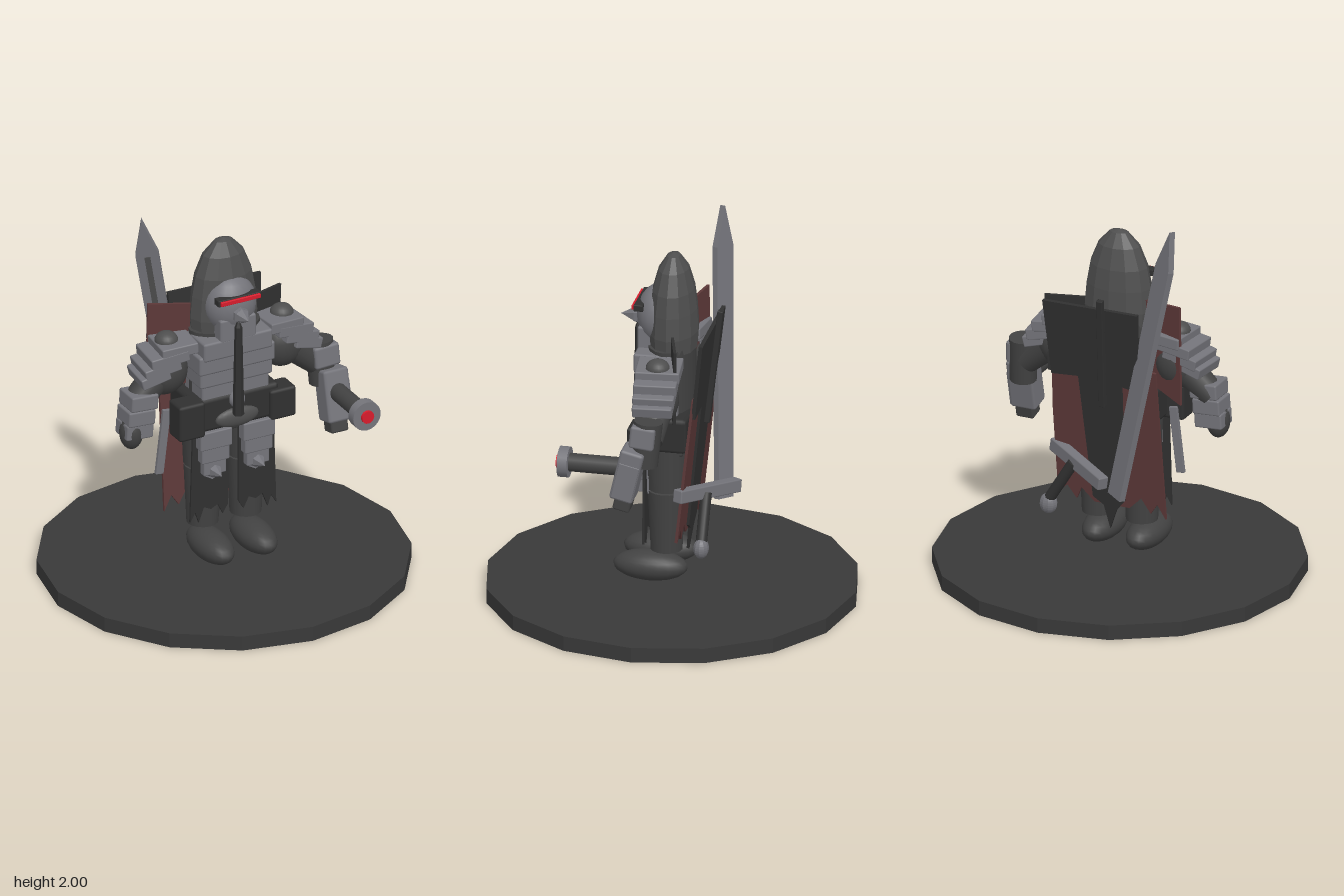
import * as THREE from 'three';
import { RoundedBoxGeometry } from 'three/addons/geometries/RoundedBoxGeometry.js';

const mat = (name, color) => {
  const m = new THREE.MeshStandardMaterial({ color });
  m.name = name;
  return m;
};
const V = (x, y, z) => new THREE.Vector3(x, y, z);

export function createModel() {
  const armor = mat('steel armor', 0x74747a);
  const under = mat('dark undersuit', 0x424242);
  const hoodCloth = mat('hood cloth', 0x4e4e4e);
  const black = mat('black cloth', 0x303030);
  const stone = mat('base stone', 0x393939);
  const cape = mat('faded red cloth', 0x5c3838);
  const glow = mat('red glow', 0xd81c2c);

  const root = new THREE.Group();
  root.name = 'armoredKnight';

  const add = (name, geo, m, pos = [0, 0, 0], rot = [0, 0, 0], parent = root) => {
    const mesh = new THREE.Mesh(geo, m);
    mesh.name = name;
    mesh.position.set(...pos);
    mesh.rotation.set(...rot);
    parent.add(mesh);
    return mesh;
  };
  const flat = (g) => {
    const f = g.index ? g.toNonIndexed() : g;
    f.computeVertexNormals();
    return f;
  };
  const box = (w, h, d) => new RoundedBoxGeometry(w, h, d, 1, Math.min(w, h, d) * 0.12);
  const ball = (rx, ry, rz, seg = 20) => new THREE.SphereGeometry(1, seg, 14).scale(rx, ry, rz);
  const limb = (name, a, b, ra, rb, m) => {
    const d = b.clone().sub(a);
    const mesh = add(name, new THREE.CylinderGeometry(rb, ra, d.length(), 16), m);
    mesh.position.copy(a).addScaledVector(d, 0.5);
    mesh.quaternion.setFromUnitVectors(V(0, 1, 0), d.normalize());
    return mesh;
  };
  const plate = (pts, depth) => new THREE.ExtrudeGeometry(
    new THREE.Shape(pts.map(([x, y]) => new THREE.Vector2(x, y))),
    { depth, bevelEnabled: false }).translate(0, 0, -depth / 2);

  // Display base
  add('base', flat(new THREE.CylinderGeometry(0.965, 0.965, 0.08, 16)), stone, [0, 0.04, 0]);

  // Legs, thigh plates and tattered front cloth
  for (const s of [-1, 1]) {
    const x = s * 0.125;
    add('boot', ball(0.095, 0.08, 0.195), under, [x, 0.19, 0.085]);
    limb('shin', V(x, 0.29, 0), V(x, 0.62, 0), 0.083, 0.098, under);
    limb('thigh', V(x, 0.63, 0), V(x, 0.98, 0), 0.1, 0.115, under);
    [[0.185, 0.1, 0.82], [0.16, 0.1, 0.74], [0.13, 0.09, 0.66]].forEach(([w, h, y], i) =>
      add('thighPlate', box(w, h, 0.06), armor, [x, y, 0.125 - i * 0.008]));
    add('kneeSpike', flat(new THREE.ConeGeometry(0.055, 0.11, 6)), armor, [x, 0.635, 0.155], [Math.PI / 2, 0, 0]);
    add('kneeRim', flat(new THREE.CylinderGeometry(0.06, 0.06, 0.06, 6)), armor, [x, 0.635, 0.08], [Math.PI / 2, 0, 0]);
    const front = [[0.03, 0.85], [0.03, 0.41], [0.06, 0.36], [0.09, 0.42], [0.13, 0.4], [0.17, 0.42],
      [0.2, 0.34], [0.22, 0.4], [0.25, 0.35], [0.235, 0.85]].map(([px, py]) => [px * s, py]);
    add('frontCloth', plate(front, 0.012), black, [0, 0, 0.095]);
  }

  // Body with overlapping chest plates
  add('pelvis', box(0.4, 0.2, 0.2), under, [0, 0.92, 0]);
  add('torso', new THREE.CylinderGeometry(0.2, 0.2, 0.42, 16).scale(1, 1, 0.6), under, [0, 1.19, 0]);
  [[0.39, 1.09, 0.13], [0.42, 1.17, 0.14], [0.44, 1.25, 0.15], [0.4, 1.33, 0.16]].forEach(([w, y, z]) =>
    add('chestPlate', box(w, 0.105, 0.2), armor, [0, y, z - 0.1]));

  // Belt, pouches and buckle
  add('belt', box(0.5, 0.19, 0.27), black, [0, 0.96, 0.005]);
  add('rightPouch', box(0.15, 0.2, 0.13), black, [-0.268, 0.955, 0.1]);
  add('leftPouch', box(0.15, 0.17, 0.13), black, [0.26, 0.94, 0.1]);
  add('buckle', ball(0.125, 0.055, 0.03), hoodCloth, [0, 0.92, 0.14]);
  add('buckleBoss', ball(0.045, 0.045, 0.045), armor, [0, 1.02, 0.135]);

  // Hood and mask
  const hood = [[0, 1.36], [0.18, 1.37], [0.19, 1.46], [0.18, 1.58], [0.16, 1.69], [0.115, 1.8], [0.05, 1.87], [0, 1.885]]
    .map(([r, y]) => new THREE.Vector2(r, y));
  add('hood', flat(new THREE.LatheGeometry(hood, 12).scale(1, 1, 0.68)), hoodCloth, [0, 0, -0.01]);
  add('mask', ball(0.143, 0.16, 0.12), armor, [0, 1.54, 0.06]);
  add('maskJaw', box(0.21, 0.13, 0.1), armor, [0, 1.43, 0.11]);
  add('visorFrame', box(0.25, 0.035, 0.05), black, [0, 1.605, 0.15]);
  add('visor', box(0.23, 0.024, 0.03), glow, [0, 1.605, 0.172]);
  add('snoutBase', flat(new THREE.CylinderGeometry(0.042, 0.048, 0.05, 6)), armor, [0, 1.52, 0.17], [Math.PI / 2, 0, 0]);
  add('snoutSpike', flat(new THREE.ConeGeometry(0.042, 0.075, 6)), armor, [0, 1.52, 0.23], [Math.PI / 2, 0, 0]);
  add('chestPipe', flat(new THREE.CylinderGeometry(0.02, 0.03, 0.5, 6)), black, [-0.01, 1.2, 0.175]);
  add('chestPipeTip', flat(new THREE.ConeGeometry(0.02, 0.05, 6)), black, [-0.01, 1.475, 0.175]);

  // Shoulders and upper arms
  for (const s of [-1, 1]) {
    [[0.3, 1.35, 0.2], [0.355, 1.31, 0.21], [0.395, 1.26, 0.2], [0.435, 1.215, 0.16]].forEach(([x, y, w], i) =>
      add('shoulderPlate', box(w, 0.06, 0.23 - i * 0.008), armor, [s * x, y, 0], [0, s * 0.1, -s * (0.05 + i * 0.07)]));
    add('shoulderStud', ball(0.062, 0.05, 0.062), hoodCloth, [s * 0.335, 1.375, 0]);
    add('upperArm', ball(0.125, 0.13, 0.1), under, [s * 0.34, 1.2, -0.01]);
    limb('elbow', V(s * 0.36, 1.2, -0.01), V(s * 0.53, 1.05, 0), 0.085, 0.07, under);
  }

  // Right forearm with bracer and fist
  [[-0.5, 1.085], [-0.515, 1.0], [-0.525, 0.925]].forEach(([x, y], i) =>
    add('bracerPlate', box(0.155, 0.085, 0.15 - i * 0.008), armor, [x, y, 0.01], [0, 0, -0.06]));
  add('rightFist', ball(0.062, 0.095, 0.065), under, [-0.55, 0.91, 0.02]);

  // Left forearm with cannon
  limb('leftForearm', V(0.55, 1.17, 0), V(0.56, 0.93, 0.02), 0.075, 0.07, under);
  add('elbowPlate', box(0.145, 0.12, 0.13), armor, [0.56, 1.095, 0.02], [-0.1, 0, 0.05]);
  const gun = new THREE.Group();
  gun.name = 'armCannon';
  gun.position.set(0.585, 0, 0);
  root.add(gun);
  add('cannonHousing', box(0.145, 0.28, 0.125), armor, [0, 0.89, 0.095], [-0.23, 0, 0], gun);
  add('cannonSide', box(0.04, 0.2, 0.11), armor, [0.055, 0.86, 0.1], [-0.23, 0, 0], gun);
  add('leftHand', box(0.1, 0.09, 0.09), under, [0, 0.735, 0.12], [-0.23, 0, 0], gun);
  const tube = (name, r, z0, z1, m) => add(name, new THREE.CylinderGeometry(r, r, z1 - z0, 20),
    m, [0, 0.92, (z0 + z1) / 2], [Math.PI / 2, 0, 0], gun);
  tube('cannonBarrel', 0.048, 0.08, 0.42, under);
  tube('cannonMuzzle', 0.08, 0.405, 0.458, armor);
  tube('muzzleGlow', 0.035, 0.45, 0.472, glow);

  // Cape hanging in one leaning plane
  const cloak = new THREE.Group();
  cloak.name = 'cape';
  cloak.position.z = -0.045;
  cloak.rotation.x = -0.11;
  root.add(cloak);
  add('redCape', plate([[-0.29, 1.2], [-0.305, 0.35], [-0.26, 0.43], [-0.22, 0.37], [-0.17, 0.45], [-0.1, 0.38],
    [0.1, 0.38], [0.17, 0.45], [0.2, 0.38], [0.25, 0.45], [0.305, 0.4], [0.31, 0.9], [0.3, 1.2]], 0.015), cape, [0, 0, 0], [0, 0, 0], cloak);
  add('capeCentre', plate([[-0.1, 1.15], [-0.08, 0.42], [-0.03, 0.36], [0.01, 0.25], [0.04, 0.38], [0.1, 0.42],
    [0.15, 1.15]], 0.015), black, [0, 0, -0.014], [0, 0, 0], cloak);
  add('capeYoke', plate([[-0.21, 1.53], [-0.19, 1.08], [0.06, 1.12], [0.3, 1.1], [0.33, 1.52]], 0.02), black, [0, 0, -0.012], [0, 0, 0], cloak);
  add('backStrap', box(0.035, 0.62, 0.03), black, [0, 1.28, -0.035], [0, 0, 0.03], cloak);
  // Side flaps behind the shoulders
  add('rightFlap', plate([[-0.12, 0.27], [0.11, 0.25], [0.08, -0.2], [-0.13, -0.27]], 0.015), cape, [-0.275, 1.28, -0.07], [0, -0.28, 0]);
  add('leftFlap', plate([[-0.11, 0.2], [0.11, 0.2], [0.09, -0.22], [-0.09, -0.22]], 0.015), black, [0.275, 1.285, -0.07], [0, 0.28, 0]);

  // Great sword slung across the back
  const sword = new THREE.Group();
  sword.name = 'greatSword';
  const yAxis = V(-0.285, 1.5, 0.07);
  const length = yAxis.length();
  yAxis.normalize();
  const side = V(0.87, 0, 0.5);
  side.addScaledVector(yAxis, -side.dot(yAxis)).normalize();
  sword.quaternion.setFromRotationMatrix(new THREE.Matrix4().makeBasis(side, yAxis, side.clone().cross(yAxis)));
  sword.position.set(-0.1, 0.5, -0.25);
  root.add(sword);
  add('blade', plate([[-0.055, 0], [0.055, 0], [0.06, length - 0.21], [0, length], [-0.06, length - 0.21]], 0.034), armor,
    [0, 0, 0], [0, 0, 0], sword);
  add('fuller', new THREE.BoxGeometry(0.03, 0.75, 0.008), hoodCloth, [0, length - 0.6, 0.019], [0, 0, 0], sword);

  // Crossguard, grip and pommel
  const guardDir = V(0.39, 0.07, 0.23);
  const guard = add('crossguard', box(guardDir.length(), 0.07, 0.06), armor, [0.13, 0.63, -0.215]);
  guard.quaternion.setFromUnitVectors(V(1, 0, 0), guardDir.normalize());
  limb('grip', V(0.3, 0.4, -0.22), V(0.16, 0.63, -0.215), 0.03, 0.03, black);
  add('pommel', flat(ball(0.048, 0.055, 0.04, 10)), armor, [0.3, 0.38, -0.22]);

  // Small dagger at the right hip
  add('hipDagger', box(0.045, 0.36, 0.02), armor, [-0.34, 0.78, -0.03], [0, 0, -0.12]);

  return root;
}
